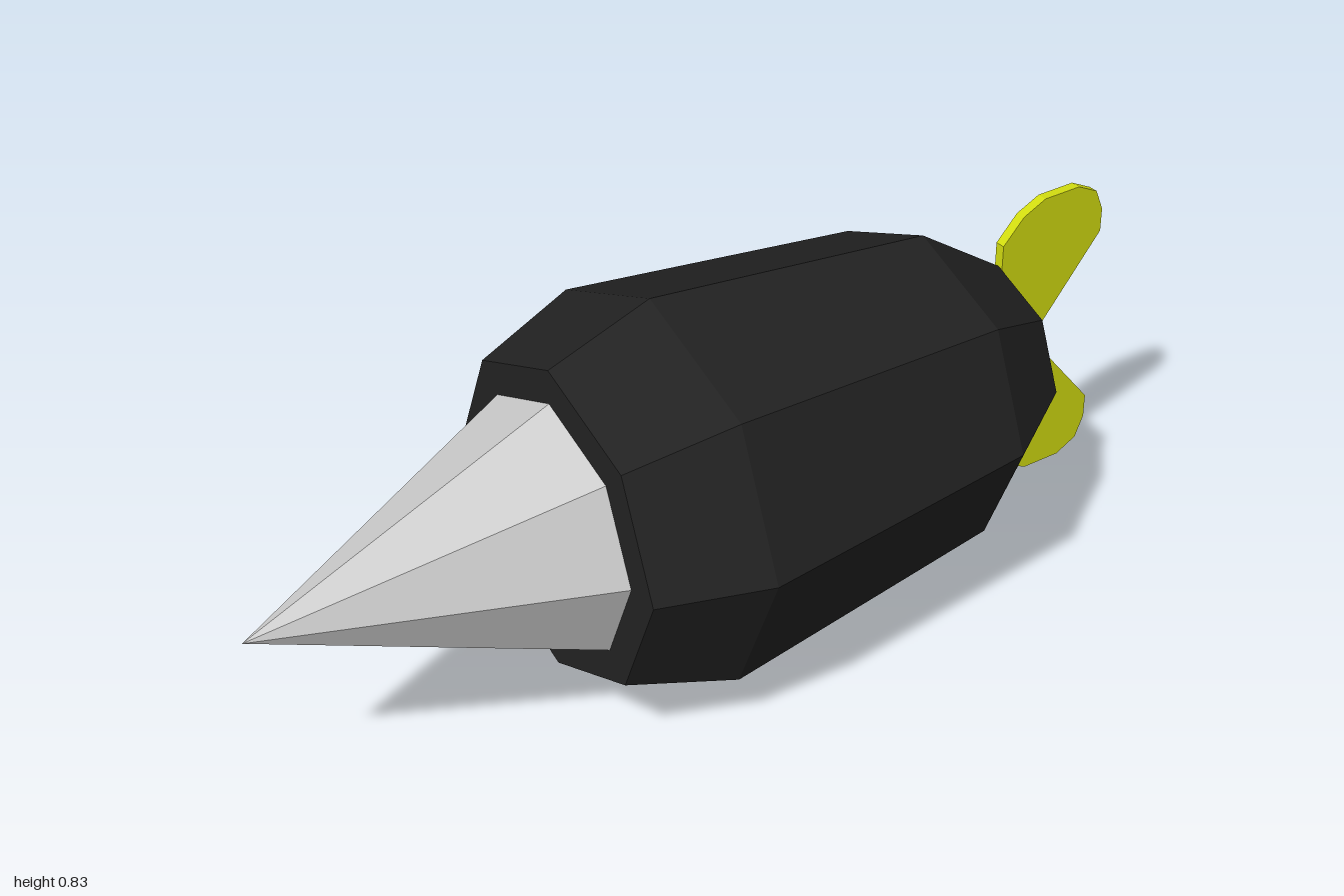
import * as THREE from 'three';

const CENTER_Y = 0.414;
const SIDES = 8;

function flat(color) {
  return new THREE.MeshStandardMaterial({ color, flatShading: true });
}

// Eight-sided solid turned around the z axis from [radius, z] pairs, back to front
function turned(name, profile, material) {
  const points = profile.map(([r, z]) => new THREE.Vector2(r, z));
  const geometry = new THREE.LatheGeometry(points, SIDES).rotateX(Math.PI / 2);
  const mesh = new THREE.Mesh(geometry, material);
  mesh.name = name;
  return mesh;
}

export function createModel() {
  const model = new THREE.Group();
  model.name = 'dart';

  // Barrel-shaped body with flat ends
  const body = turned('body', [
    [0, -0.735], [0.2, -0.735], [0.337, -0.53], [0.413, 0.12], [0.337, 0.345], [0, 0.345],
  ], flat(0x222222));

  // Pointed nose
  const nose = turned('nose', [[0.265, 0.345], [0, 1]], flat(0xcccccc));

  // Thin forked tail fin: upper lobe outline as [distance back, height], mirrored below
  const lobe = [
    [0.735, 0.25], [0.785, 0.302], [0.84, 0.327], [0.93, 0.327],
    [0.98, 0.302], [1, 0.255], [1, 0.203],
  ];
  const outline = [
    ...lobe,
    [0.83, 0],
    ...lobe.map(([b, h]) => [b, -h]).reverse(),
  ].map(([b, h]) => new THREE.Vector2(b, h));
  const thickness = 0.022;
  const finGeometry = new THREE.ExtrudeGeometry(new THREE.Shape(outline), {
    depth: thickness, bevelEnabled: false,
  });
  finGeometry.translate(0, 0, -thickness / 2).rotateY(Math.PI / 2);
  const fin = new THREE.Mesh(finGeometry, flat(0xd2dc10));
  fin.name = 'tailFin';

  for (const part of [body, nose, fin]) {
    part.position.y = CENTER_Y;
    model.add(part);
  }
  return model;
}
